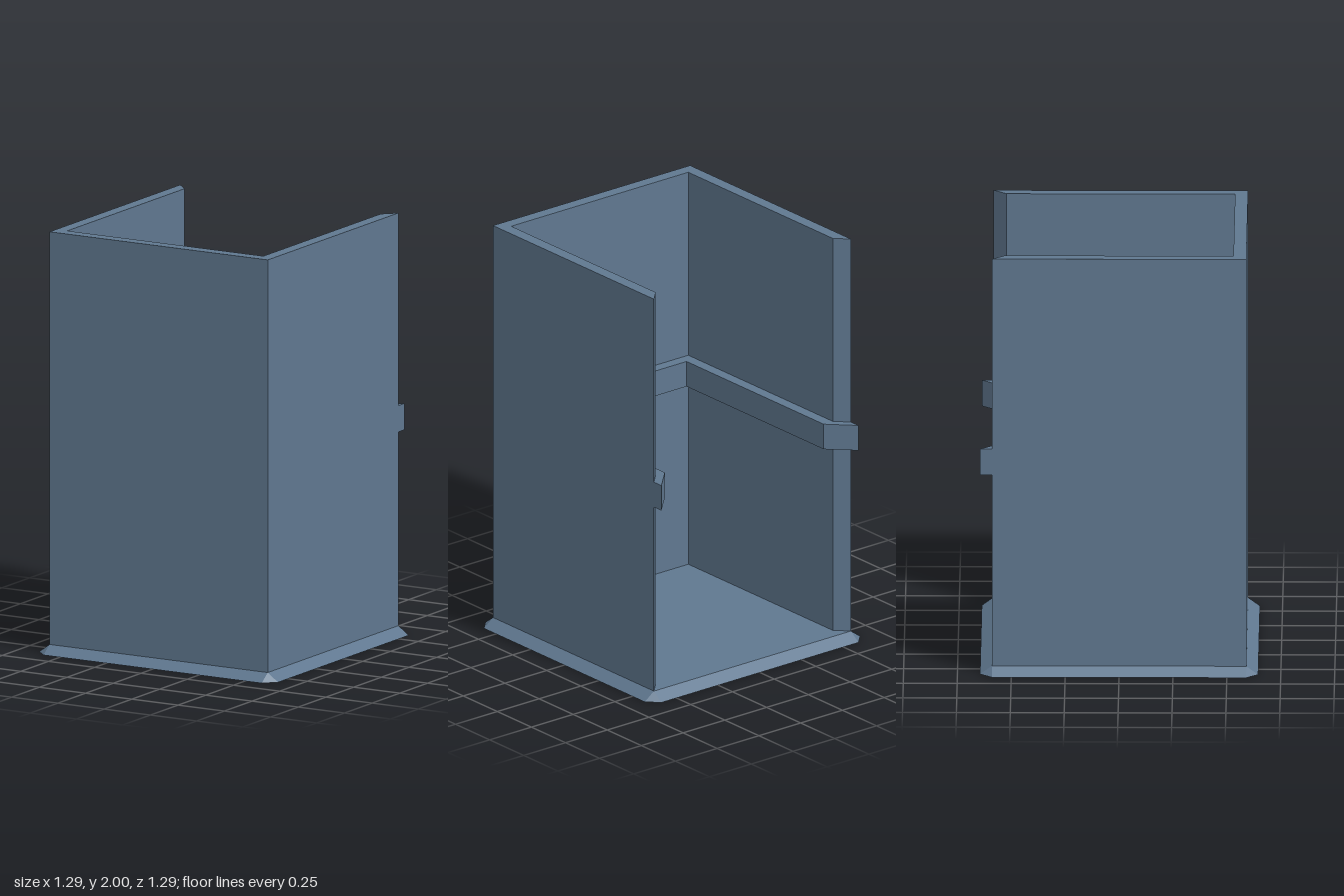
import * as THREE from 'three';
import { ConvexGeometry } from 'three/addons/geometries/ConvexGeometry.js';

const OUT = 0.59;     // outer face of the walls
const IN = 0.53;      // inner face of the walls
const RAIL = 0.475;   // inner face of the rail
const SKIRT = 0.645;  // reach of the base and the rail hooks
const BASE_H = 0.04;

// Extrudes a plan outline upward; half is listed as [x, z] on the +x side and mirrored.
function extrudePlan(half, y0, y1) {
  const mirrored = half.map(([x, z]) => [-x, z]).reverse();
  const outline = [...half, ...mirrored].map(([x, z]) => new THREE.Vector2(x, -z));
  const geometry = new THREE.ExtrudeGeometry(new THREE.Shape(outline), {
    depth: y1 - y0,
    bevelEnabled: false,
  });
  geometry.rotateX(-Math.PI / 2);
  geometry.translate(0, y0, 0);
  return geometry;
}

export function createModel() {
  const group = new THREE.Group();
  const material = new THREE.MeshStandardMaterial({ color: 0x607890, flatShading: true });
  const add = (name, geometry) => {
    const mesh = new THREE.Mesh(geometry, material);
    mesh.name = name;
    group.add(mesh);
  };

  // Base plate: clipped-corner footprint sloping up to a square top
  const points = [];
  for (const sx of [-1, 1]) {
    for (const sz of [-1, 1]) {
      points.push(
        new THREE.Vector3(sx * SKIRT, 0, sz * OUT),
        new THREE.Vector3(sx * OUT, 0, sz * SKIRT),
        new THREE.Vector3(sx * OUT, BASE_H, sz * OUT),
      );
    }
  }
  add('base', new ConvexGeometry(points));

  // Three walls, open at the back, with mitred rear edges
  add('walls', extrudePlan([[OUT, OUT], [OUT, -OUT], [IN, -IN], [IN, IN]], BASE_H, 2));

  // Inner rail that runs round the walls and wraps over the rear edges
  add('rail', extrudePlan(
    [[IN, IN], [IN, -IN], [OUT, -OUT], [OUT, -SKIRT], [RAIL, -IN], [RAIL, RAIL]], 0.96, 1.085));

  return group;
}
